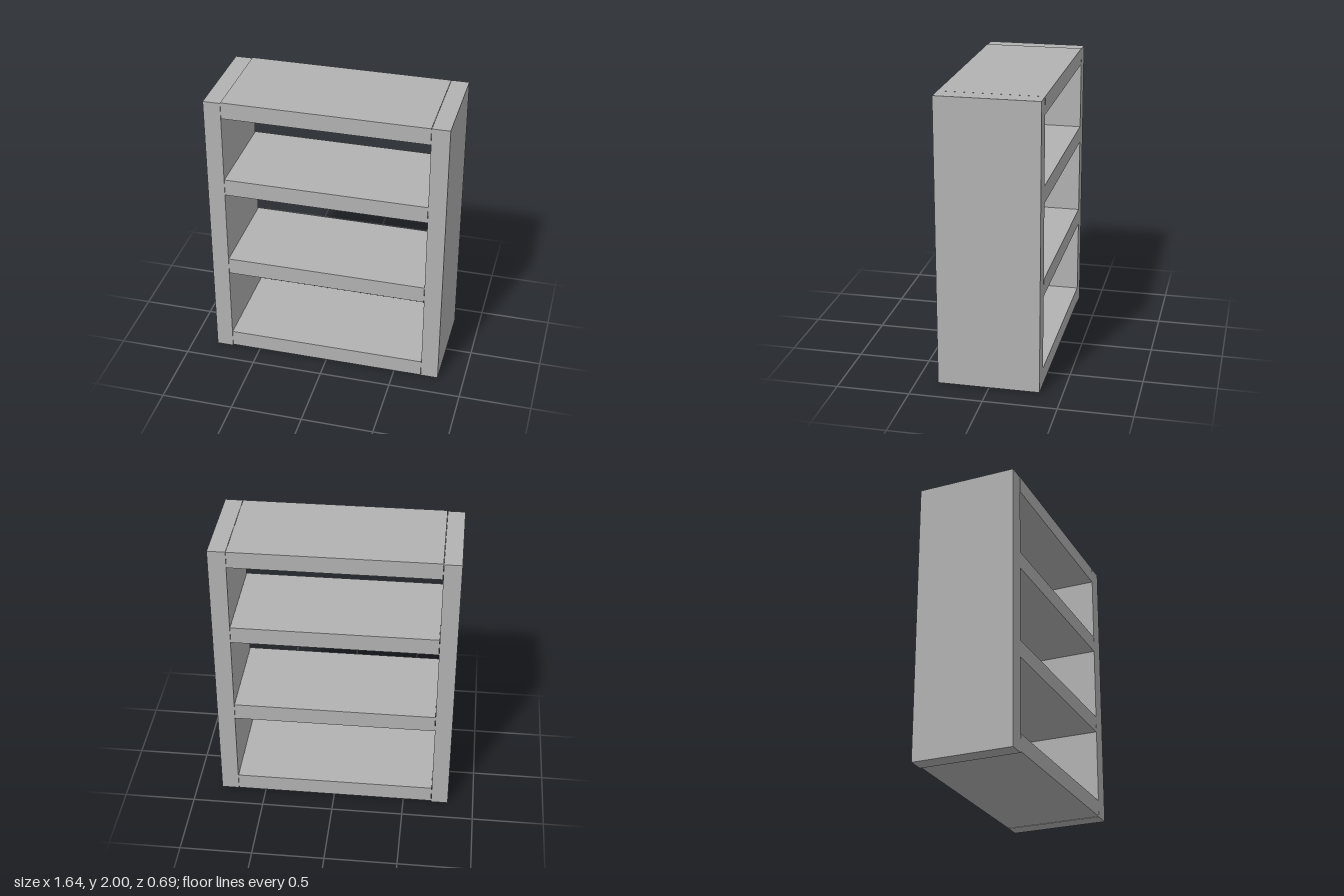
import * as THREE from 'three';

const DEPTH = 0.695;

export function createModel() {
  const group = new THREE.Group();
  const grey = new THREE.MeshStandardMaterial({ color: 0xb2b2b2 });

  // Board given by its x and y extents, running the full depth
  function board(name, x0, x1, y0, y1) {
    const mesh = new THREE.Mesh(new THREE.BoxGeometry(x1 - x0, y1 - y0, DEPTH), grey);
    mesh.name = name;
    mesh.position.set((x0 + x1) / 2, (y0 + y1) / 2, 0);
    group.add(mesh);
  }

  // Upright sides, set at very slightly different heights
  board('rightSide', -0.82, -0.702, 0, 1.995);
  board('leftSide', 0.697, 0.818, 0.008, 2);

  // Horizontal boards between the sides
  const shelves = [
    ['bottomShelf', 0.01, 0.128],
    ['lowerShelf', 0.65, 0.769],
    ['upperShelf', 1.296, 1.415],
    ['topShelf', 1.883, 2],
  ];
  for (const [name, y0, y1] of shelves) board(name, -0.7, 0.695, y0, y1);

  return group;
}
